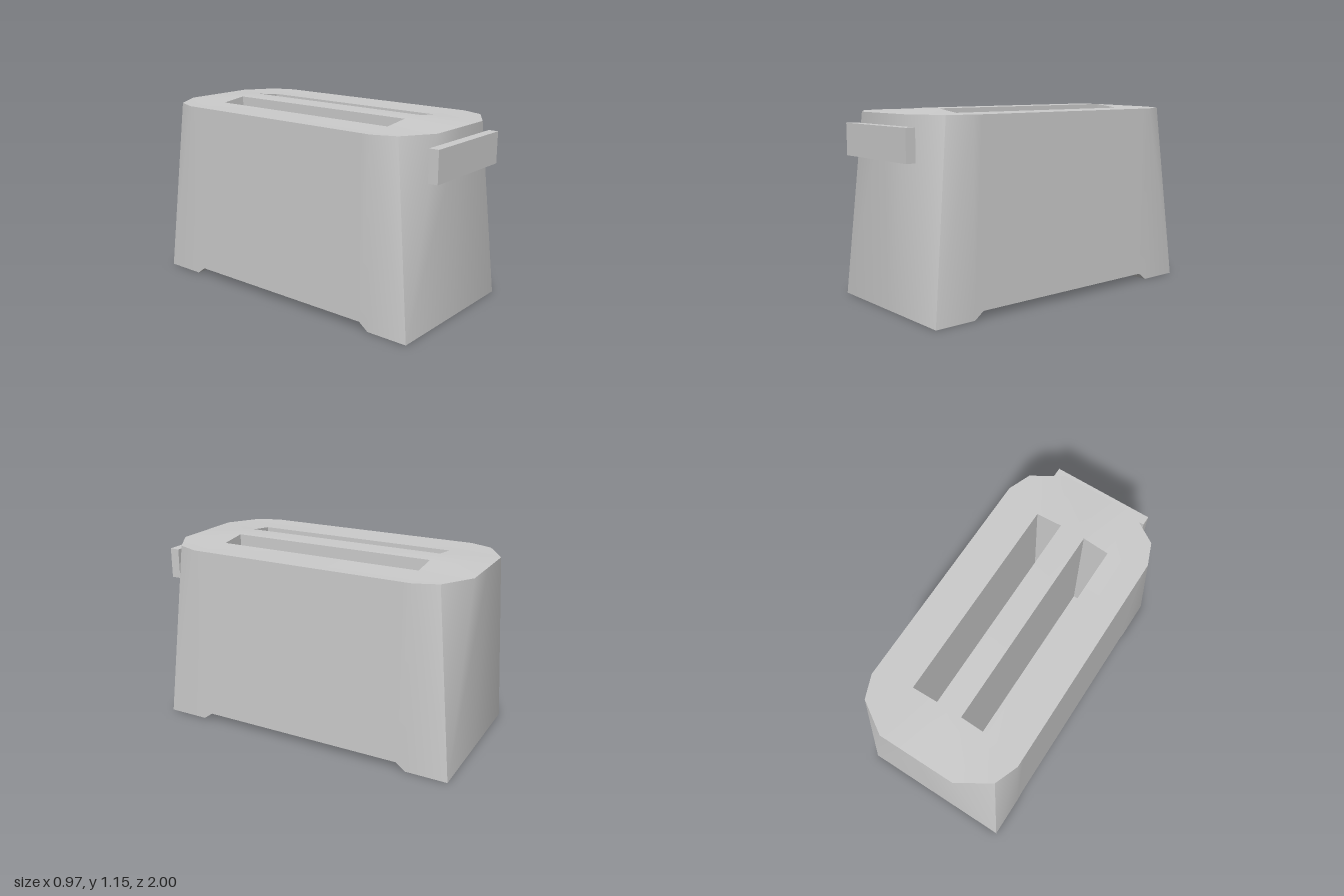
import * as THREE from 'three';
import { toCreasedNormals } from 'three/addons/utils/BufferGeometryUtils.js';

const W = 0.485, D = 0.97;        // half width, half depth
const H = 1.13, T = 1.15;         // rim height, crown height
const IN = 0.08, OUT = 0.245, SZ = 0.65; // slot edges in x, slot half length
const FLOOR = 0.3;                // slot floor height
const CENTRE_Z = -0.03;

// Builds a geometry from convex faces of one quarter (+x, +z), mirrored in x and z.
function mirroredQuarter(faces) {
  const pos = [];
  for (const sx of [1, -1]) for (const sz of [1, -1]) {
    for (const face of faces) {
      const pts = face.map(([x, y, z]) => [x * sx, y, z * sz]);
      if (sx * sz < 0) pts.reverse();
      for (let i = 1; i < pts.length - 1; i++) pos.push(...pts[0], ...pts[i], ...pts[i + 1]);
    }
  }
  const g = new THREE.BufferGeometry();
  g.setAttribute('position', new THREE.Float32BufferAttribute(pos, 3));
  return toCreasedNormals(g, THREE.MathUtils.degToRad(35));
}

export function createModel() {
  const group = new THREE.Group();
  const material = new THREE.MeshStandardMaterial({ color: 0xcccccc });
  const add = (name, geometry, x, y, z) => {
    const mesh = new THREE.Mesh(geometry, material);
    mesh.name = name;
    mesh.position.set(x, y, z);
    group.add(mesh);
  };

  // Bottom corner and the three points of the cut-off top corner
  const corner = [W, 0, D];
  const topEnd = [0.24, H, D], topMid = [0.43, H, 0.85], topSide = [W, H, 0.71];

  const shell = [
    // End wall and tapering corner facets
    [[0, 0, D], corner, topEnd, [0, H, D]],
    [corner, topMid, topEnd],
    [corner, topSide, topMid],
    // Side wall above the foot, the ramp and the raised underside
    [corner, [W, 0, 0.71], topSide],
    [[W, 0, 0.71], [W, 0.045, 0.65], [W, H, 0.65], topSide],
    [[W, 0.045, 0.65], [W, 0.045, 0], [W, H, 0], [W, H, 0.65]],
    // Crown between and beyond the slots
    [[0, T, 0], [0, T, SZ], [IN, T, SZ], [IN, T, 0]],
    [[0, T, SZ], [0, H, D], topEnd, [IN, T, SZ]],
    [[IN, T, SZ], topEnd, [OUT, H, SZ]],
    // Flat outer rim
    [[OUT, H, SZ], topEnd, topMid, topSide, [W, H, SZ]],
    [[OUT, H, 0], [OUT, H, SZ], [W, H, SZ], [W, H, 0]],
  ];
  // Underside: foot, ramp, raised middle
  const under = [[0, D], [0, 0.71], [0.045, 0.65], [0.045, 0]];
  for (let i = 0; i < under.length - 1; i++) {
    const [y0, z0] = under[i], [y1, z1] = under[i + 1];
    shell.push([[0, y0, z0], [0, y1, z1], [W, y1, z1], [W, y0, z0]]);
  }
  add('body', mirroredQuarter(shell), 0, 0, CENTRE_Z);

  // Slot wells: floor, inner wall, outer wall, end wall
  const wells = [
    [[IN, FLOOR, 0], [IN, FLOOR, SZ], [OUT, FLOOR, SZ], [OUT, FLOOR, 0]],
    [[IN, FLOOR, SZ], [IN, FLOOR, 0], [IN, T, 0], [IN, T, SZ]],
    [[OUT, FLOOR, 0], [OUT, FLOOR, SZ], [OUT, H, SZ], [OUT, H, 0]],
    [[OUT, FLOOR, SZ], [IN, FLOOR, SZ], [IN, T, SZ], [OUT, H, SZ]],
  ];
  add('breadSlots', mirroredQuarter(wells), 0, 0, CENTRE_Z);

  // Wide push lever on the front
  add('lever', new THREE.BoxGeometry(0.64, 0.19, 0.06), 0, 0.97, 0.97);

  return group;
}
